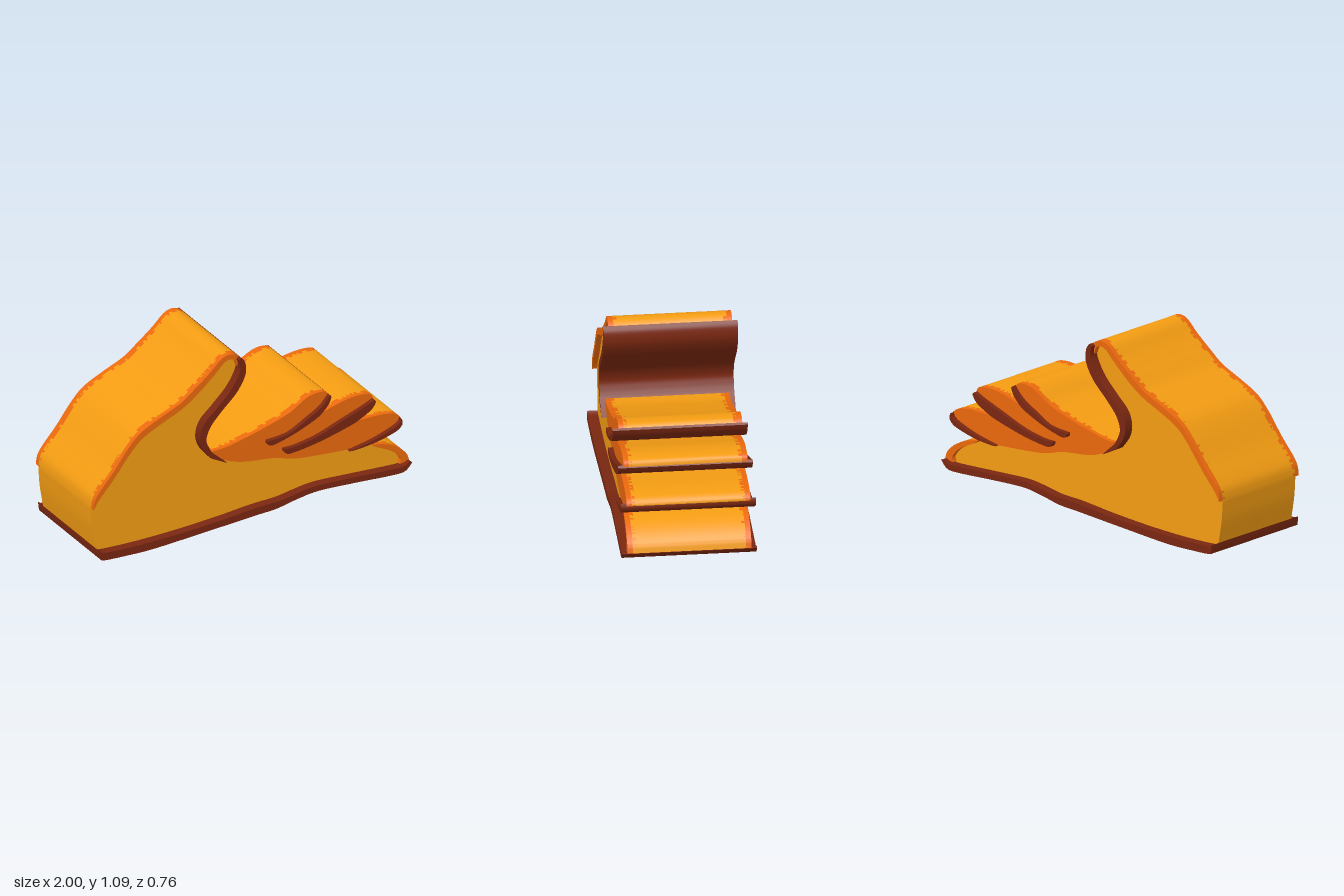
import * as THREE from 'three';
import { toCreasedNormals } from 'three/addons/utils/BufferGeometryUtils.js';

const AMBER = 0xf39c12, ORANGE = 0xeb690d, DARK = 0x7a2710;

// Smooth curve through a flat list of x, y pairs
function curve(coords, n = 48) {
  const pts = [];
  for (let i = 0; i < coords.length; i += 2) pts.push(new THREE.Vector2(coords[i], coords[i + 1]));
  return new THREE.SplineCurve(pts).getSpacedPoints(n);
}

// Consecutive outline runs, counter-clockwise from the wrist's lower corner
const run = {
  bottom: curve([-.97, .06, -.963, .02, -.945, .007, -.8, .006, -.63, .012, -.31, .045, .01, .08, .14, .093,
    .275, .125, .41, .147, .65, .147, .86, .143, .955, .15, 1, .195], 80),
  indexTop: curve([1, .195, .98, .245, .92, .295, .835, .33, .73, .345, .607, .345]),
  middleUnder: curve([.607, .345, .757, .366, .89, .405, .935, .437, .942, .465]),
  middleTop: curve([.942, .465, .94, .48, .9, .505, .81, .516, .676, .51, .607, .505]),
  ringUnder: curve([.607, .505, .676, .537, .746, .58, .773, .617]),
  ringTop: curve([.773, .617, .757, .655, .69, .666, .596, .655, .49, .623, .37, .585]),
  littleUnder: curve([.37, .585, .425, .618, .473, .67, .49, .709]),
  littleTop: curve([.49, .709, .463, .735, .393, .735, .33, .709, .249, .655, .14, .612, .01, .57, -.15, .527, -.26, .516]),
  thumbInner: curve([-.26, .516, -.286, .559, -.302, .612, -.275, .687, -.206, .767, -.11, .864, -.056, .96,
    -.056, 1.035, -.08, 1.07]),
  handBack: curve([-.08, 1.07, -.105, 1.087, -.147, 1.093, -.195, 1.072, -.26, 1.008, -.356, .928, -.447, .858,
    -.58, .794, -.698, .73, -.778, .65, -.874, .521, -.955, .425, -.99, .37, -1, .313], 80),
  wrist: curve([-1, .313, -.992, .195, -.97, .06], 16),
};

// Joins runs into one outline without doubled points
function join(...runs) {
  const out = [];
  for (const p of runs.flat()) if (!out.length || out[out.length - 1].distanceTo(p) > 1e-4) out.push(p);
  if (out[0].distanceTo(out[out.length - 1]) < 1e-4) out.pop();
  return out;
}

// Slab of an outline between z0 and z1
function slab(name, outline, z0, z1, color) {
  const geo = new THREE.ExtrudeGeometry(new THREE.Shape(outline), { depth: z1 - z0, bevelEnabled: false });
  geo.translate(0, 0, z0);
  const mesh = new THREE.Mesh(toCreasedNormals(geo, 0.6), new THREE.MeshStandardMaterial({ color }));
  mesh.name = name;
  return mesh;
}

// Raised orange layer on both faces of the hand
function facings(name, outline) {
  const group = new THREE.Group();
  group.name = name;
  group.add(slab(name + 'Front', outline, .3, .35, ORANGE), slab(name + 'Back', outline, -.35, -.3, ORANGE));
  return group;
}

// Band between an outer run and an inner curve; push lifts the outer edge slightly
function band(outer, innerCoords, push = 0) {
  const inner = curve(innerCoords, outer.length - 1);
  const lifted = outer.map((p, i) => {
    const d = p.clone().sub(inner[i]);
    return d.length() > 1e-3 ? p.clone().add(d.setLength(push)) : p.clone();
  });
  return join(lifted, inner.reverse());
}

export function createModel() {
  const hand = new THREE.Group();
  hand.name = 'hand';

  // Full hand silhouette
  hand.add(slab('handCore', join(...Object.values(run)), -.32, .32, AMBER));

  // Far three fingers
  const fingerBase = curve([.607, .345, .436, .35, .275, .361, .14, .393, -.045, .41, -.168, .447, -.26, .516]).reverse();
  hand.add(facings('fingers', join(run.middleUnder, run.middleTop, run.ringUnder, run.ringTop,
    run.littleUnder, run.littleTop, fingerBase)));

  // Orange upper rims
  hand.add(facings('handBackRim', band(run.handBack, [-.088, 1.01, -.1, 1.045, -.125, 1.06, -.168, 1.051, -.233, .987,
    -.34, .89, -.447, .815, -.58, .751, -.687, .692, -.767, .612, -.874, .473, -.965, .366, -.998, .311])));
  hand.add(facings('indexTipRim', band(run.indexTop.slice(0, 31),
    [.94, .185, .945, .22, .89, .275, .785, .325, .765, .342])));

  // Dark shaded undersides, proud of both faces
  const shade = (name, outline) => hand.add(slab(name, outline, -.38, .38, DARK));
  shade('palmShade', band(run.bottom, [-.97, .06, -.95, .05, -.74, .051, -.473, .067, -.206, .094, .01, .123, .168, .136,
    .275, .158, .41, .179, .65, .179, .86, .177, .95, .18, .985, .2], .003));
  shade('thumbShade', [
    new THREE.Vector2(-.168, .441),
    ...band(run.thumbInner, [-.27, .49, -.323, .559, -.34, .633, -.313, .714, -.233, .794, -.142, .89, -.088, .987,
      -.088, 1.04, -.095, 1.06], .003),
  ]);
  shade('middleShade', band(run.middleUnder, [.607, .345, .757, .382, .874, .425, .925, .455, .935, .48], .003));

  // Creases running from the gaps between fingers into the hand
  shade('ringShade', join(
    curve([.776, .62, .748, .577, .678, .534, .607, .503, .41, .445, .243, .414, .2, .424, .195, .446]),
    curve([.195, .446, .275, .452, .41, .484, .57, .548, .703, .602, .765, .632])));
  shade('littleShade', join(
    curve([.493, .709, .475, .667, .427, .615, .37, .58, .25, .527, .126, .489, .09, .5, .09, .518]),
    curve([.09, .518, .222, .537, .33, .596, .425, .655, .485, .72])));

  return hand;
}
